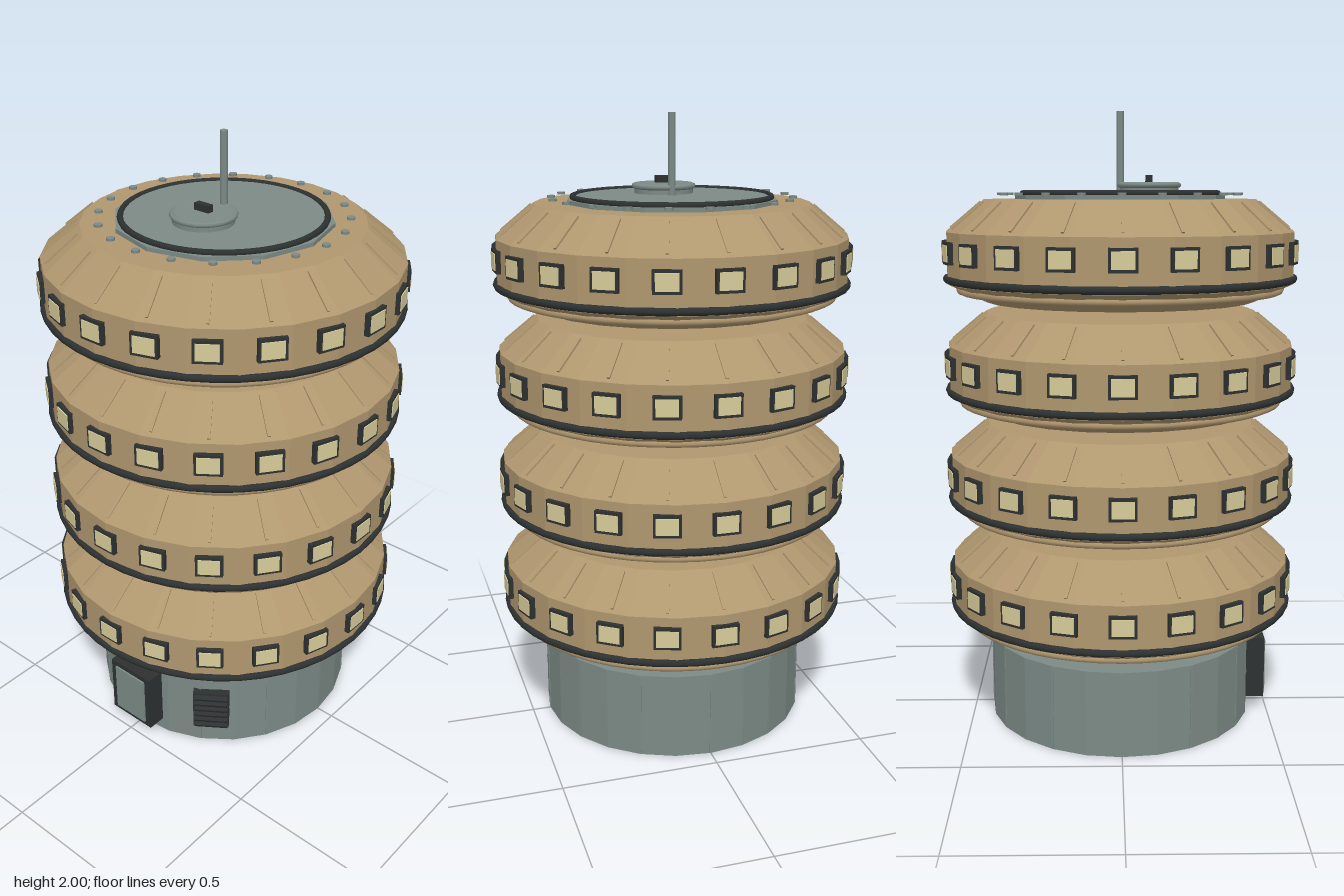
import * as THREE from 'three';

const mat = (name, color) => Object.assign(new THREE.MeshStandardMaterial({ color }), { name });

export function createModel() {
  const tan = mat('tanShell', 0xb0976f);
  const grey = mat('greyMetal', 0x7c8a86);
  const dark = mat('darkTrim', 0x2e3131);
  const glass = mat('paleGlass', 0xd8cc9a);
  const root = new THREE.Group();
  root.name = 'stackedTower';

  const add = (parent, name, geo, material, x = 0, y = 0, z = 0) => {
    const m = new THREE.Mesh(geo, material);
    m.name = name;
    m.position.set(x, y, z);
    parent.add(m);
    return m;
  };
  const group = (parent, name, y = 0, turn = 0) => {
    const g = new THREE.Group();
    g.name = name;
    g.position.y = y;
    g.rotation.y = turn;
    parent.add(g);
    return g;
  };
  const faceted = (geo) => {
    const g = geo.toNonIndexed();
    g.computeVertexNormals();
    return g;
  };
  const box = (w, h, d) => new THREE.BoxGeometry(w, h, d);
  const cyl = (r, h, n) => new THREE.CylinderGeometry(r, r, h, n);
  const ring = (r, tube, n = 48) => new THREE.TorusGeometry(r, tube, 8, n).rotateX(Math.PI / 2);

  // Base drum with raised panel seams
  const base = group(root, 'base');
  add(base, 'baseDrum', faceted(cyl(0.44, 0.28, 24)), grey, 0, 0.14, 0);
  add(base, 'baseSeamRing', faceted(new THREE.CylinderGeometry(0.442, 0.442, 0.008, 24, 1, true)), grey, 0, 0.15, 0);
  for (let i = 0; i < 12; i++) {
    const g = group(base, 'baseSeam', 0, (i * Math.PI) / 6);
    add(g, 'baseSeamStrip', box(0.008, 0.27, 0.008), grey, 0, 0.142, 0.438);
  }

  // Door
  const door = group(root, 'door');
  add(door, 'doorFrame', box(0.175, 0.21, 0.07), dark, 0, 0.15, 0.455);
  add(door, 'doorPanel', box(0.13, 0.175, 0.008), grey, 0, 0.15, 0.492);

  // Louvred vent
  const vent = group(root, 'vent', 0, (35 * Math.PI) / 180);
  add(vent, 'ventBox', box(0.12, 0.145, 0.04), dark, 0, 0.153, 0.44);
  for (let i = 0; i < 6; i++) {
    const slat = add(vent, 'ventSlat', box(0.11, 0.012, 0.02), dark, 0, 0.095 + i * 0.023, 0.463);
    slat.rotation.x = 0.4;
  }

  // Four identical ring modules, y measured from each module's underside
  const shellGeo = faceted(new THREE.LatheGeometry(
    [[0, 0], [0.44, 0], [0.565, 0.06], [0.565, 0.222], [0.44, 0.324], [0, 0.324]]
      .map(([r, y]) => new THREE.Vector2(r, y)), 24));
  const trimGeo = ring(0.563, 0.012);
  const lipGeo = ring(0.52, 0.013);
  const seamGeo = box(0.009, 0.01, 0.13);
  const frameGeo = box(0.085, 0.07, 0.03);
  const paneGeo = box(0.068, 0.052, 0.006);
  for (let level = 0; level < 4; level++) {
    const module = group(root, 'module', 0.32 + level * 0.36);
    add(module, 'moduleShell', shellGeo, tan);
    add(module, 'darkTrimRing', trimGeo, dark, 0, 0.073, 0);
    add(module, 'lowerLip', lipGeo, tan, 0, 0.037, 0);
    for (let i = 0; i < 20; i++) {
      const bay = group(module, 'windowBay', 0, (i * Math.PI) / 10);
      add(bay, 'windowFrame', frameGeo, dark, 0, 0.158, 0.56);
      add(bay, 'windowPane', paneGeo, glass, 0, 0.158, 0.575);
      add(bay, 'roofSeam', seamGeo, tan, 0, 0.273, 0.5).rotation.x = 0.694;
    }
  }

  // Roof plate, rim and rivets
  const roof = group(root, 'roof');
  add(roof, 'roofPlate', faceted(cyl(0.34, 0.014, 12)), grey, 0, 1.73, 0);
  add(roof, 'roofDisc', cyl(0.315, 0.012, 48), grey, 0, 1.738, 0);
  add(roof, 'roofRim', ring(0.315, 0.01), dark, 0, 1.742, 0);
  const rivetGeo = cyl(0.013, 0.008, 10);
  for (let i = 0; i < 20; i++) {
    const a = (i * Math.PI) / 10;
    add(roof, 'rivet', rivetGeo, grey, 0.385 * Math.sin(a), 1.74, 0.385 * Math.cos(a));
  }

  // Hatch with handle
  const hatch = group(root, 'hatch');
  hatch.position.z = 0.093;
  add(hatch, 'hatchLid', cyl(0.095, 0.03, 24), grey, 0, 1.76, 0);
  add(hatch, 'hatchRim', ring(0.095, 0.009, 24), grey, 0, 1.768, 0);
  add(hatch, 'hatchHandle', box(0.055, 0.022, 0.022), dark, 0, 1.789, 0);

  // Antenna mast
  add(root, 'antenna', cyl(0.012, 0.27, 10), grey, 0, 1.865, 0);
  return root;
}
